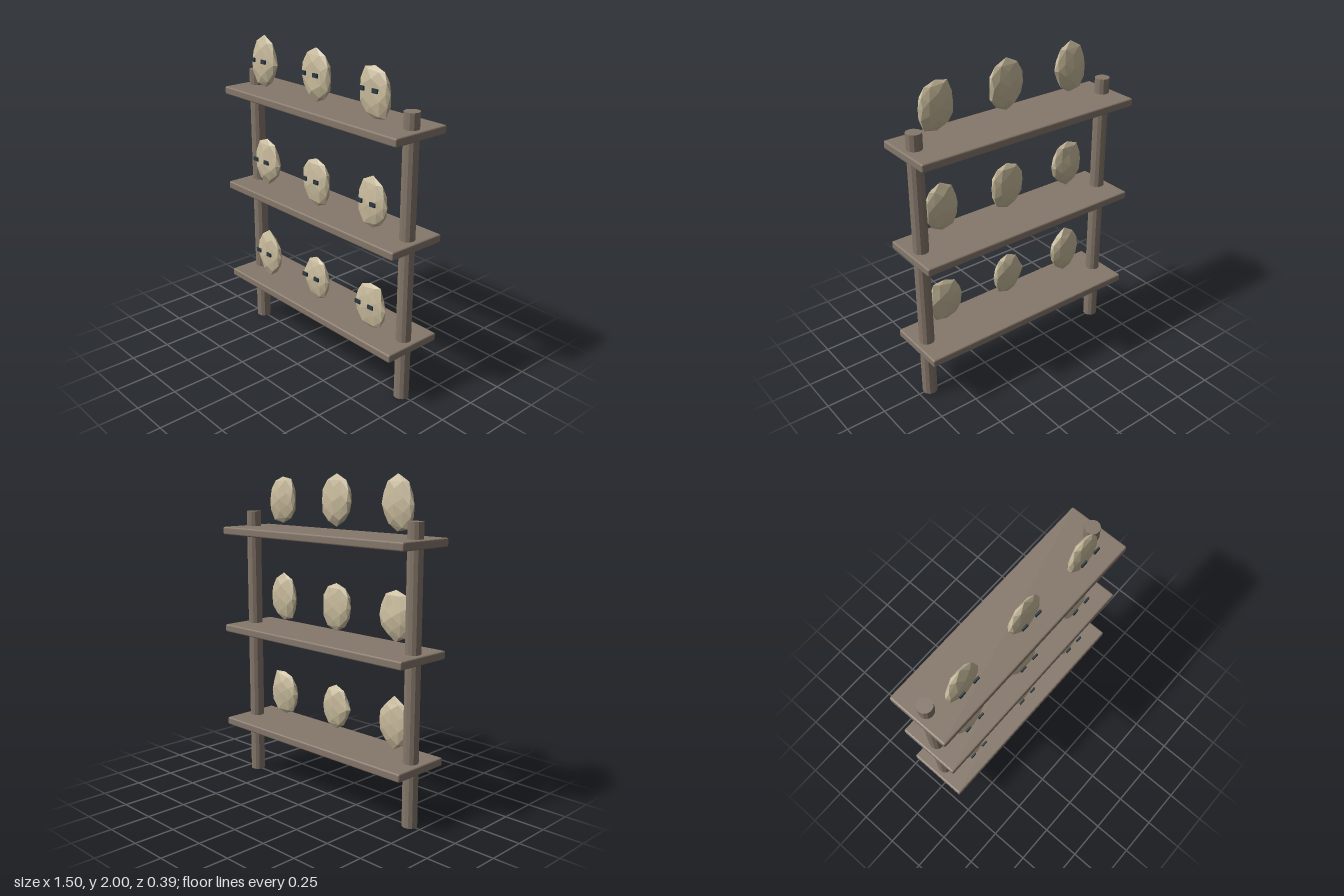
import * as THREE from 'three';
import { RoundedBoxGeometry } from 'three/addons/geometries/RoundedBoxGeometry.js';
import { mergeVertices } from 'three/addons/utils/BufferGeometryUtils.js';

const wood = new THREE.MeshStandardMaterial({ color: 0x85776a, flatShading: true });
const bone = new THREE.MeshStandardMaterial({ color: 0xc8bb9c, flatShading: true });
const dark = new THREE.MeshStandardMaterial({ color: 0x2c3a42 });

// Mask outlines: radius in hundredths every 30 degrees, counter-clockwise from +x
const OUTLINES = [
  [ // bottom shelf
    [11.5, 12, 12.5, 16.5, 14, 12.5, 12, 12, 14.5, 16.5, 13.5, 12],
    [11, 11, 13, 14, 13, 11, 12.5, 11, 13, 14.5, 14, 11.5],
    [12.5, 12, 16, 14, 13.5, 12, 12, 12.5, 14.5, 14.5, 15, 13],
  ],
  [ // middle shelf
    [12.5, 12.5, 15, 15.5, 15, 12, 11.5, 12, 14, 15, 12.5, 12.5],
    [11.5, 12.5, 14, 14.5, 14, 13, 12, 12.5, 14, 15.5, 15, 12.5],
    [11.5, 12, 14.5, 16.5, 15, 12, 11.5, 12, 15, 14.5, 13, 12],
  ],
  [ // top shelf
    [12, 12, 15, 17, 15, 12, 12, 13, 16, 15, 13, 11],
    [12, 13.5, 15, 16.5, 15, 13, 12, 12, 13, 15, 14, 13.5],
    [11.5, 12, 13.5, 14, 15, 12, 11, 12.5, 14, 15, 16, 13],
  ],
];

let seed = 7;
const random = () => (seed = (seed * 16807) % 2147483647) / 2147483647;

function add(parent, name, geometry, material, x, y, z) {
  const mesh = new THREE.Mesh(geometry, material);
  mesh.name = name;
  mesh.position.set(x, y, z);
  parent.add(mesh);
  return mesh;
}

// Flattened faceted stone whose silhouette follows the outline
function maskGeometry(outline) {
  let geometry = new THREE.IcosahedronGeometry(1, 1);
  geometry.deleteAttribute('uv');
  geometry.deleteAttribute('normal');
  geometry = mergeVertices(geometry, 1e-3);
  const p = geometry.attributes.position;
  for (let i = 0; i < p.count; i++) {
    const x = p.getX(i), y = p.getY(i);
    const a = ((Math.atan2(y, x) / (Math.PI * 2) + 1) % 1) * 12;
    const k = Math.floor(a) % 12;
    const r = THREE.MathUtils.lerp(outline[k], outline[(k + 1) % 12], a % 1) / 100;
    p.setXYZ(i, x * r, y * r, p.getZ(i) * 0.037 * (0.85 + 0.3 * random()));
  }
  geometry.computeVertexNormals();
  return geometry;
}

export function createModel() {
  const model = new THREE.Group();
  model.name = 'maskRack';

  // Posts
  const post = new THREE.CylinderGeometry(0.046, 0.046, 1.75, 12);
  for (const side of [-1, 1]) {
    add(model, side > 0 ? 'leftPost' : 'rightPost', post, wood, side * 0.673, 0.875, 0);
  }

  const board = new RoundedBoxGeometry(1.5, 0.05, 0.39, 2, 0.01);
  const eye = new THREE.BoxGeometry(0.04, 0.024, 0.01);
  OUTLINES.forEach((row, level) => {
    const y = 0.36 + level * 0.635;
    add(model, 'shelf', board, wood, 0, y, 0);

    // Three masks on every shelf, each with two eye slits in front
    row.forEach((outline, column) => {
      const mask = new THREE.Group();
      mask.name = 'mask';
      mask.position.set((column - 1) * 0.476, y + 0.2, 0.08);
      add(mask, 'face', maskGeometry(outline), bone, 0, 0, 0);
      for (const side of [-1, 1]) add(mask, 'eye', eye, dark, side * 0.052, 0.02, 0.053);
      model.add(mask);
    });
  });
  return model;
}
